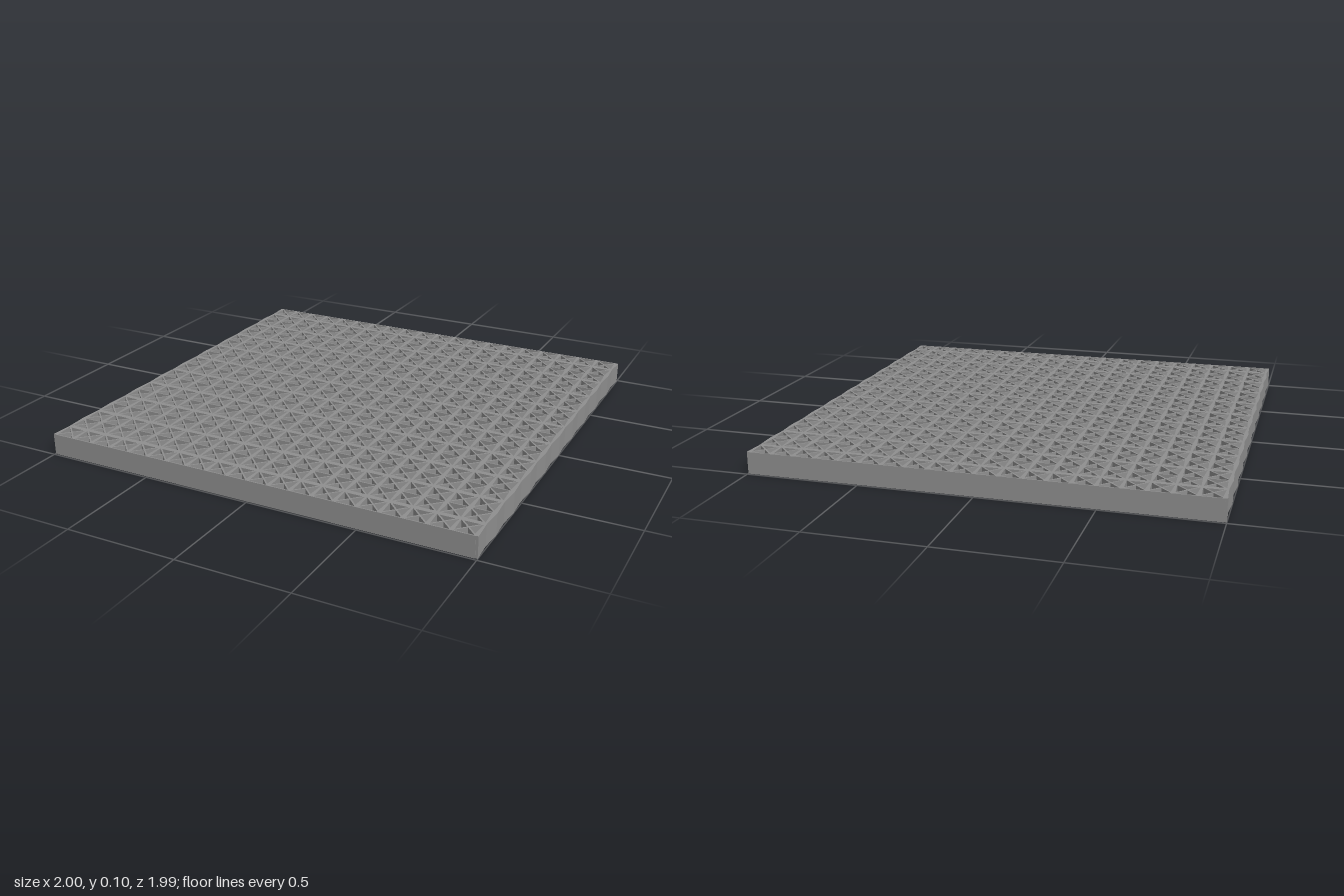
import * as THREE from 'three';

const HEIGHT = 0.096;
const CELLS = 20;
const HALF = 0.99;                 // half size of the lattice, on wall centre lines
const PITCH = (2 * HALF) / CELLS;

export function createModel() {
  const group = new THREE.Group();
  group.name = 'latticePanel';
  const material = new THREE.MeshStandardMaterial({ color: 0x8e8e8e, flatShading: true });

  const addWall = (name, length, thickness, x, z, angle = 0) => {
    const wall = new THREE.Mesh(new THREE.BoxGeometry(length, HEIGHT, thickness), material);
    wall.name = name;
    wall.position.set(x, HEIGHT / 2, z);
    wall.rotation.y = angle;
    group.add(wall);
  };

  // Cross walls running along x, alternately thin and thick
  for (let i = 0; i <= CELLS; i++) {
    const thick = i % 2 === 1;
    addWall(thick ? 'thickCrossWall' : 'thinCrossWall', 2 * HALF, thick ? 0.022 : 0.005, 0, -HALF + i * PITCH);
  }

  // Long walls running along z, swelling at the thin cross walls and narrowing at the thick ones
  const side = [];
  for (let i = 0; i <= CELLS; i++) {
    side.push(new THREE.Vector2(i % 2 ? 0.004 : 0.01, -HALF + i * PITCH));
  }
  const outline = [...side, ...side.map(p => new THREE.Vector2(-p.x, p.y)).reverse()];
  const longWall = new THREE.ExtrudeGeometry(new THREE.Shape(outline), { depth: HEIGHT, bevelEnabled: false });
  longWall.rotateX(-Math.PI / 2);
  for (let i = 0; i <= CELLS; i++) {
    const wall = new THREE.Mesh(longWall, material);
    wall.name = 'taperedLongWall';
    wall.position.x = -HALF + i * PITCH;
    group.add(wall);
  }

  // Diagonal braces in both directions, crossing in the middle of every cell
  for (let k = -CELLS + 1; k < CELLS; k++) {
    const length = (CELLS - Math.abs(k)) * PITCH * Math.SQRT2;
    const offset = (k * PITCH) / 2;
    addWall('diagonalBrace', length, 0.007, offset, -offset, -Math.PI / 4);
    addWall('diagonalBrace', length, 0.007, offset, offset, Math.PI / 4);
  }

  return group;
}
